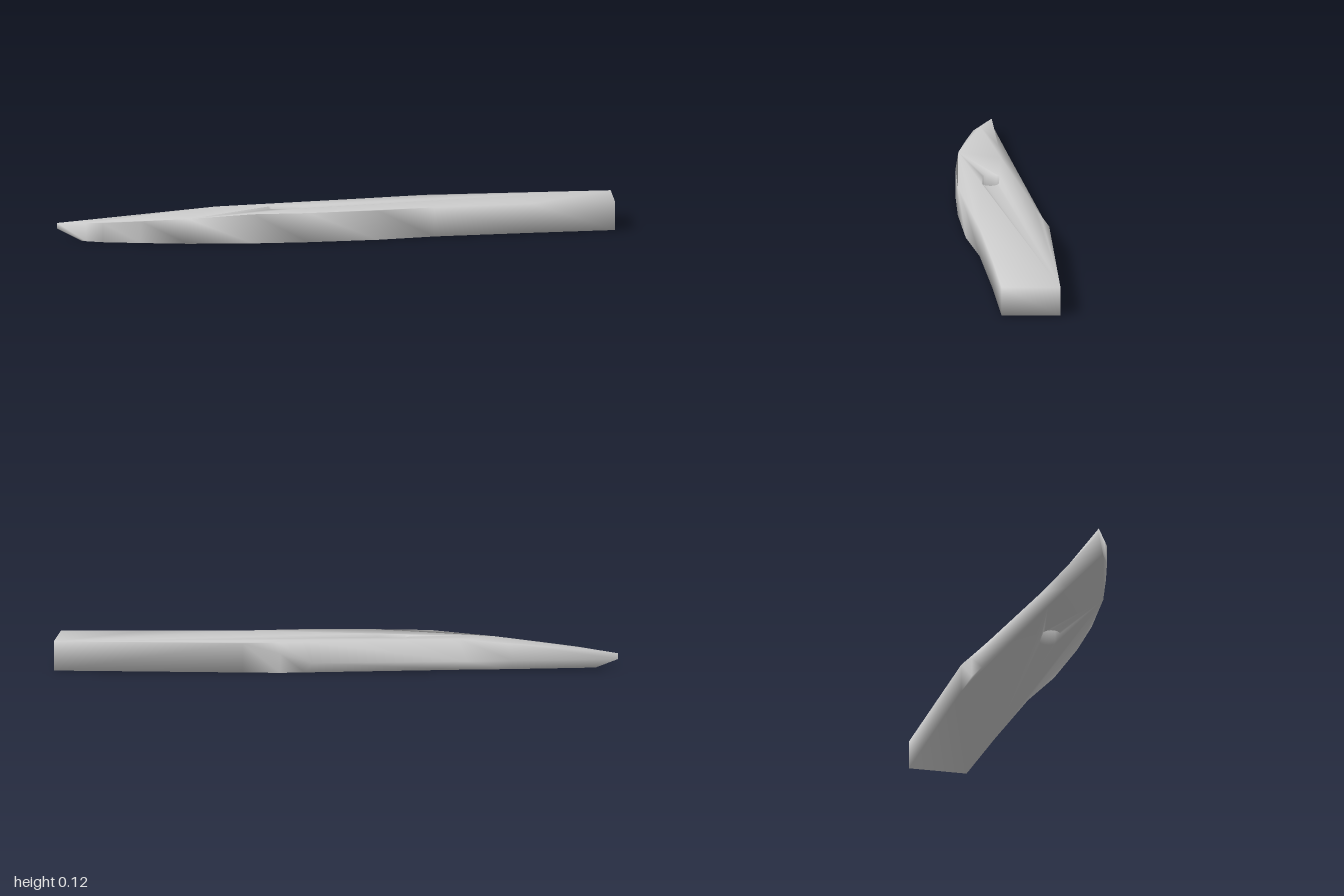
import * as THREE from 'three';
import { mergeVertices } from 'three/addons/utils/BufferGeometryUtils.js';

const T = 0.115; // blade thickness

// upper surface is level, then falls towards the tip
const topY = (x) => (x > -0.45 ? T : T - (-0.45 - x) * 0.09);

// cutting side and handle end, plain vertical wall: [x, z]
const edge = [
  [0.88, 0.545], [0.58, 0.405], [0.23, 0.25], [0.01, 0.18], [-0.24, 0.065],
  [-0.43, -0.04], [-0.64, -0.18], [-0.78, -0.3], [-0.89, -0.4], [-0.93, -0.455],
];

// bevelled spine from tip to handle: ridge x, y, z, then upper x, z and lower x, z
const spine = [
  [-1, 0.043, -0.55, -1, -0.55, -0.94, -0.47],
  [-0.62, 0.04, -0.403, -0.62, -0.35, -0.62, -0.36],
  [-0.45, 0.04, -0.337, -0.45, -0.26, -0.45, -0.295],
  [0.11, 0.04, -0.12, 0.11, -0.07, 0.13, -0.092],
  [0.22, 0.075, -0.061, 0.22, -0.034, 0.22, -0.061],
  [0.35, T, 0.007, 0.35, 0.007, 0.35, 0.007],
  [1, 0, 0.35, 1, 0.35, 1, 0.35],
];

function slot(cx, cz, dx, dz, r, n) {
  const pts = [];
  const axis = Math.atan2(-dz, dx);
  for (let i = 0; i < n; i++) {
    const t = axis + ((i + 0.5) / n) * Math.PI * 2;
    const s = Math.sign(Math.cos(t - axis));
    pts.push([cx + s * dx + r * Math.cos(t), cz + s * dz - r * Math.sin(t)]);
  }
  return pts;
}

function bladeGeometry() {
  const pos = [];
  const put = (...pts) => pts.forEach((p) => pos.push(p[0], p[1], p[2]));

  // matching loops around the blade
  const upper = [...edge, ...spine.map((s) => [s[3], s[4]])].map(([x, z]) => [x, topY(x), z]);
  const ridge = [...edge.map(([x, z]) => [x, 0, z]), ...spine.map((s) => [s[0], s[1], s[2]])];
  const lower = [...edge, ...spine.map((s) => [s[5], s[6]])].map(([x, z]) => [x, 0, z]);

  // through slot
  const hole = slot(-0.245, -0.088, 0.029, 0.02, 0.034, 16);
  const holeTop = hole.map(([x, z]) => [x, topY(x), z]);
  const holeLow = hole.map(([x, z]) => [x, 0, z]);

  const same = (a, b) => a.every((v, i) => Math.abs(v - b[i]) < 1e-5);
  const tri = (a, b, c) => { if (!same(a, b) && !same(b, c) && !same(a, c)) put(a, b, c); };
  const wall = (lo, hi) => lo.forEach((p, i) => {
    const j = (i + 1) % lo.length;
    tri(p, hi[i], hi[j]);
    tri(p, hi[j], lo[j]);
  });
  wall(lower, ridge);
  wall(ridge, upper);
  wall(holeLow, holeTop);

  // flat faces with the slot cut out
  const face = (loop, inner, up) => {
    const flat = (l) => l.map((p) => new THREE.Vector2(p[0], p[2]));
    const all = [...loop, ...inner];
    for (const [a, b, c] of THREE.ShapeUtils.triangulateShape(flat(loop), [flat(inner)])) {
      const [A, B, C] = [all[a], all[b], all[c]];
      const ny = (B[2] - A[2]) * (C[0] - A[0]) - (B[0] - A[0]) * (C[2] - A[2]);
      if (ny > 0 === up) put(A, B, C);
      else put(A, C, B);
    }
  };
  face(upper, holeTop, true);
  face(lower, holeLow, false);

  // shared corners give soft shading throughout
  const g = new THREE.BufferGeometry();
  g.setAttribute('position', new THREE.Float32BufferAttribute(pos, 3));
  const merged = mergeVertices(g, 1e-5);
  merged.computeVertexNormals();
  return merged;
}

export function createModel() {
  const group = new THREE.Group();
  group.name = 'knifeBlade';
  const blade = new THREE.Mesh(bladeGeometry(), new THREE.MeshStandardMaterial({ color: 0xcccccc }));
  blade.name = 'blade';
  group.add(blade);
  return group;
}
